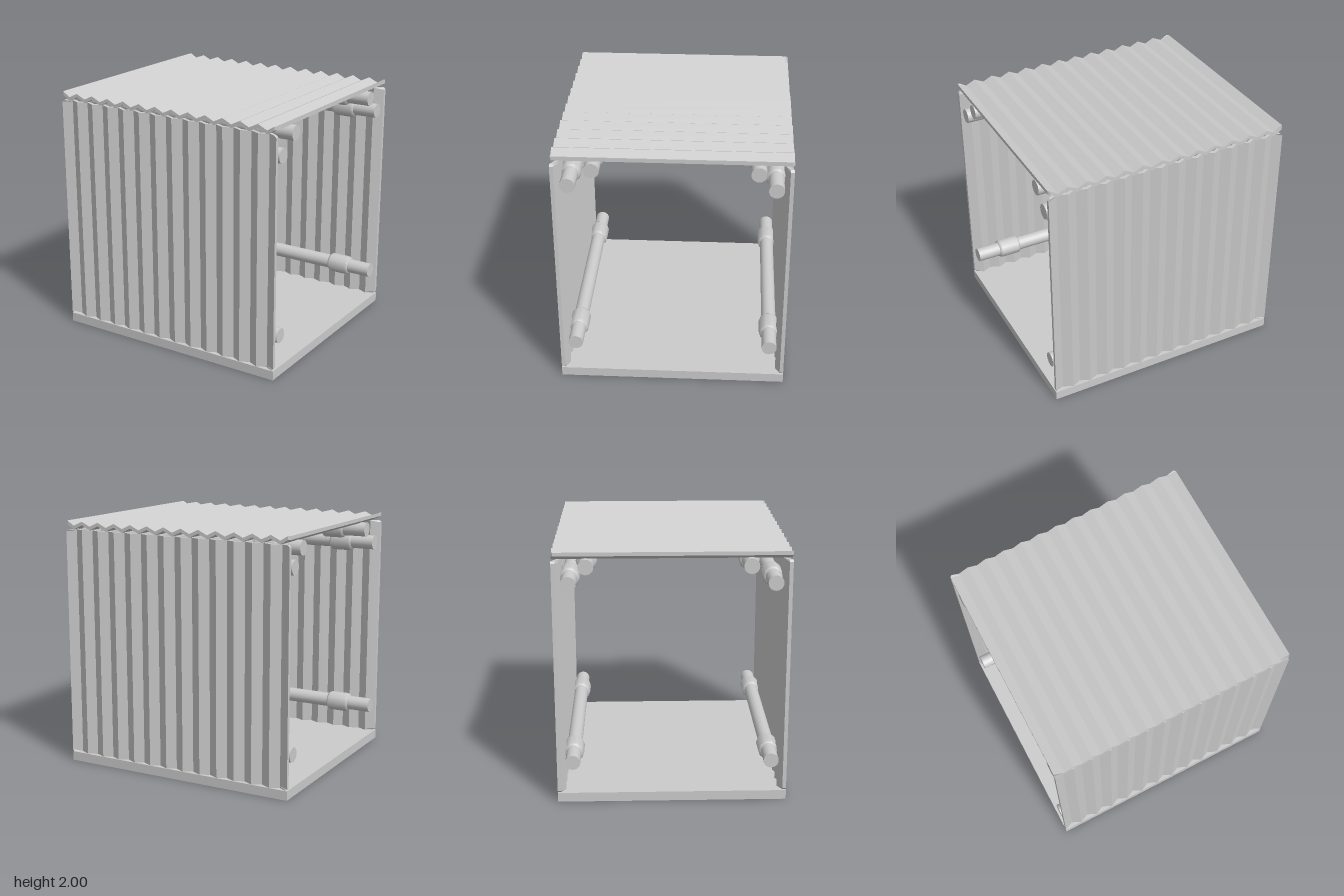
import * as THREE from 'three';

const grey = new THREE.MeshStandardMaterial({ color: 0xcccccc });
const HALF = 0.99;      // half width of the shelter
const DEPTH = 1.79;     // front to back
const FOLDS = 13;       // ridges per sheet

function add(parent, name, geometry, x = 0, y = 0, z = 0) {
  const mesh = new THREE.Mesh(geometry, grey);
  mesh.name = name;
  mesh.position.set(x, y, z);
  parent.add(mesh);
  return mesh;
}

// Zigzag sheet: folds along x, ridges along z, outer face towards +y
function corrugatedSheet(length) {
  const wave = 0.036, thick = 0.029, clip = 0.015;
  const top = [], bottom = [];
  for (let i = 0; i <= FOLDS * 2; i++) {
    const x = -HALF + (i * HALF) / FOLDS;
    const y = i % 2 === 0 ? wave : 0;
    bottom.push(new THREE.Vector2(x, y));
    top.unshift(new THREE.Vector2(x, y + thick));
  }
  const geo = new THREE.ExtrudeGeometry(new THREE.Shape([...bottom, ...top]), {
    depth: length, steps: 3, bevelEnabled: false,
  });
  // Clip the four corners of the sheet
  const p = geo.attributes.position;
  const stations = [0, clip, length - clip, length];
  for (let i = 0; i < p.count; i++) {
    const s = Math.round((p.getZ(i) / length) * 3);
    p.setZ(i, stations[s] - length / 2);
    if (s === 0 || s === 3) {
      p.setX(i, THREE.MathUtils.clamp(p.getX(i), clip - HALF, HALF - clip));
    }
  }
  geo.computeVertexNormals();
  return geo;
}

// Horizontal rail with a fitting near each end
function rail(y, z) {
  const group = new THREE.Group();
  group.name = 'rail';
  group.position.set(0, y, z);
  add(group, 'railTube', new THREE.CylinderGeometry(0.059, 0.059, 1.96, 20).rotateZ(Math.PI / 2));
  const profile = [
    [0.055, -0.095], [0.07, -0.095], [0.081, -0.075],
    [0.081, 0.075], [0.07, 0.095], [0.055, 0.095],
  ].map(([r, h]) => new THREE.Vector2(r, h));
  for (const side of [-1, 1]) {
    add(group, 'railCollar', new THREE.LatheGeometry(profile, 10).rotateZ(Math.PI / 2), side * 0.69);
  }
  return group;
}

export function createModel() {
  const model = new THREE.Group();
  model.name = 'corrugatedShelter';

  // Floor slab
  add(model, 'floor', new THREE.BoxGeometry(HALF * 2, 0.075, DEPTH), 0, 0.0375, 0);

  // Roof sheet
  add(model, 'roof', corrugatedSheet(DEPTH), 0, 1.935, 0);

  // Front and back walls, ridges upright
  const wallGeo = corrugatedSheet(1.855).rotateX(Math.PI / 2);
  add(model, 'frontWall', wallGeo, 0, 1.005, 0.83);
  add(model, 'backWall', wallGeo, 0, 1.005, -0.83).rotation.y = Math.PI;

  // Wall rails, then roof rails
  for (const z of [-0.773, 0.773]) {
    for (const y of [0.325, 1.755]) model.add(rail(y, z));
  }
  for (const z of [-0.64, 0.59]) model.add(rail(1.885, z));

  return model;
}
